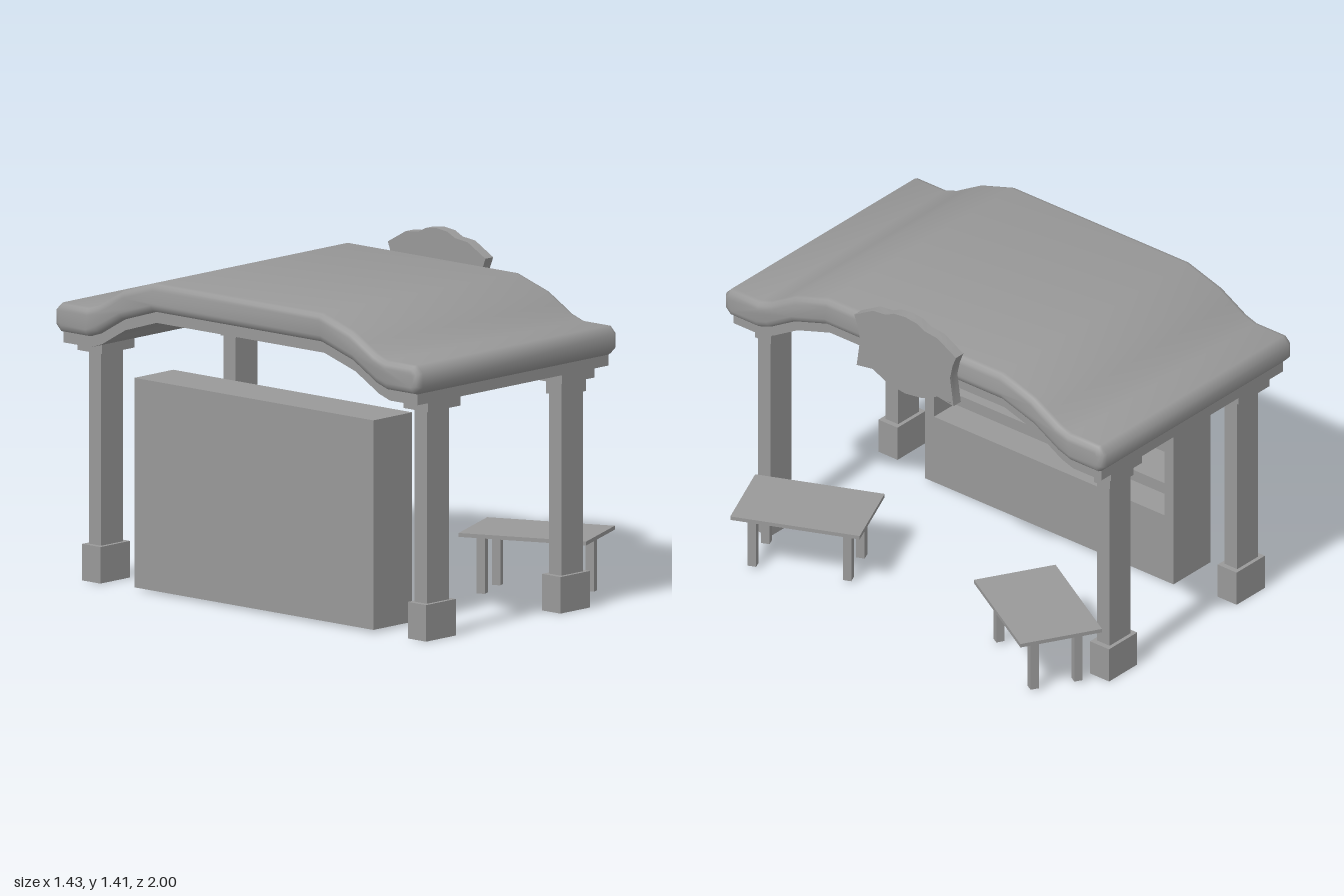
import * as THREE from 'three';
import { toCreasedNormals } from 'three/addons/utils/BufferGeometryUtils.js';

const grey = new THREE.MeshStandardMaterial({ color: 0x999999 });
grey.name = 'plain grey';

function mesh(name, geometry, parent) {
  const m = new THREE.Mesh(geometry, grey);
  m.name = name;
  parent.add(m);
  return m;
}

// Box given by its lowest and highest corners
function box(name, parent, [x0, y0, z0], [x1, y1, z1]) {
  const m = mesh(name, new THREE.BoxGeometry(x1 - x0, y1 - y0, z1 - z0), parent);
  m.position.set((x0 + x1) / 2, (y0 + y1) / 2, (z0 + z1) / 2);
  return m;
}

// Side outline drawn as (z, y), swept along x from x0 to x1
function sweep(shape, x0, x1, bevel = 0) {
  const g = new THREE.ExtrudeGeometry(shape, {
    depth: x1 - x0 - 2 * bevel,
    bevelEnabled: bevel > 0,
    bevelSize: bevel,
    bevelThickness: bevel,
    bevelOffset: -bevel,
    bevelSegments: 3,
  });
  g.rotateY(Math.PI / 2);
  g.translate(x0 + bevel, 0, 0);
  return toCreasedNormals(g, 0.85);
}

// Symmetric outline from the points of its +z half
function mirrored(half) {
  const other = half.filter(([z]) => z > 0).reverse().map(([z, y]) => [-z, y]);
  return [...half, ...other].map(([z, y]) => new THREE.Vector2(z, y));
}

// Arched band: a raised vault with flat eaves, chamfered at its ends
function archBand(end, top, thickness, chamfer) {
  const rise = [[0.46, 0.148], [0.63, 0.095], [0.7, 0.055], [0.76, 0.02], [0.82, 0]];
  const upper = rise.map(([z, y]) => [z, top + y]);
  const lower = rise.map(([z, y]) => [z, top + y - thickness]).reverse();
  const tip = chamfer
    ? [[end - chamfer, top], [end, top - chamfer],
       [end, top - thickness + chamfer], [end - chamfer, top - thickness]]
    : [[end, top], [end, top - thickness]];
  return new THREE.Shape(mirrored([...upper, ...tip, ...lower].reverse()).length
    ? closedBand(upper, tip, lower) : []);
}

// Joins both halves of a band: over the top, around the ends, back underneath
function closedBand(upper, tip, lower) {
  const right = [...upper, ...tip, ...lower];
  const left = right.map(([z, y]) => [-z, y]).reverse();
  return [...right, ...left].map(([z, y]) => new THREE.Vector2(z, y));
}

function rectangle(PathType, z0, y0, z1, y1) {
  return new PathType([[z0, y0], [z1, y0], [z1, y1], [z0, y1]].map(([z, y]) => new THREE.Vector2(z, y)));
}

function addColumn(parent, x, z, tallCapital) {
  const column = new THREE.Group();
  column.name = 'column';
  column.position.set(x, 0, z);
  const block = (name, w, d, y0, y1) => box(name, column, [-w / 2, y0, -d / 2], [w / 2, y1, d / 2]);
  block('columnBase', 0.176, 0.1, 0, 0.15);
  block('columnShaft', 0.13, 0.067, 0.15, 0.95);
  if (tallCapital) block('columnNeck', 0.146, 0.085, 0.89, 0.945);
  block('columnCapital', 0.192, 0.135, 0.945, 0.99);
  parent.add(column);
}

function addTable(parent, x, z, turn) {
  const table = new THREE.Group();
  table.name = 'table';
  table.position.set(x, 0, z);
  table.rotation.y = turn;
  box('tableTop', table, [-0.175, 0.25, -0.272], [0.175, 0.266, 0.272]);
  const s = 0.018;
  for (const lx of [-0.094, 0.094])
    for (const lz of [-0.2, 0.2])
      box('tableLeg', table, [lx - s, 0.01, lz - s], [lx + s, 0.25, lz + s]);
  parent.add(table);
}

export function createModel() {
  const model = new THREE.Group();
  model.name = 'marketStall';

  // Vaulted roof with a narrower trim beneath
  mesh('roof', sweep(archBand(1, 1.15, 0.12, 0.03), -0.72, 0.474, 0.03), model);
  mesh('roofTrim', sweep(archBand(0.97, 1.035, 0.05, 0), -0.69, 0.443), model);

  // Four columns
  for (const z of [-0.893, 0.893]) {
    addColumn(model, 0.276, z, true);
    addColumn(model, -0.521, z, false);
  }

  // Shelf unit: front frame with three openings, and a back panel
  const front = rectangle(THREE.Shape, -0.655, 0.01, 0.655, 0.87);
  for (const [y0, y1] of [[0.315, 0.415], [0.465, 0.62], [0.67, 0.82]])
    front.holes.push(rectangle(THREE.Path, -0.607, y0, 0.607, y1));
  mesh('shelfFrame', sweep(front, -0.57, -0.38), model);
  box('shelfBack', model, [-0.61, 0.01, -0.655], [-0.57, 0.87, 0.655]);

  // Sign board with a raised rim
  const outline = mirrored([
    [0, 1.415], [0.06, 1.408], [0.1, 1.388], [0.17, 1.38], [0.268, 1.325], [0.25, 1.28],
    [0.237, 1.22], [0.255, 1.095], [0.17, 1.108], [0.09, 1.07], [0, 1.058],
  ]);
  const rim = new THREE.Shape(outline);
  rim.holes.push(new THREE.Path(outline.map((p) => new THREE.Vector2(p.x * 0.95, 1.237 + (p.y - 1.237) * 0.94))));
  mesh('signBoard', sweep(new THREE.Shape(outline), 0.474, 0.51), model);
  mesh('signRim', sweep(rim, 0.51, 0.52), model);

  // Two tables set at an angle
  addTable(model, 0.422, 0.597, 0.41);
  addTable(model, 0.426, -0.621, -0.519);

  return model;
}
